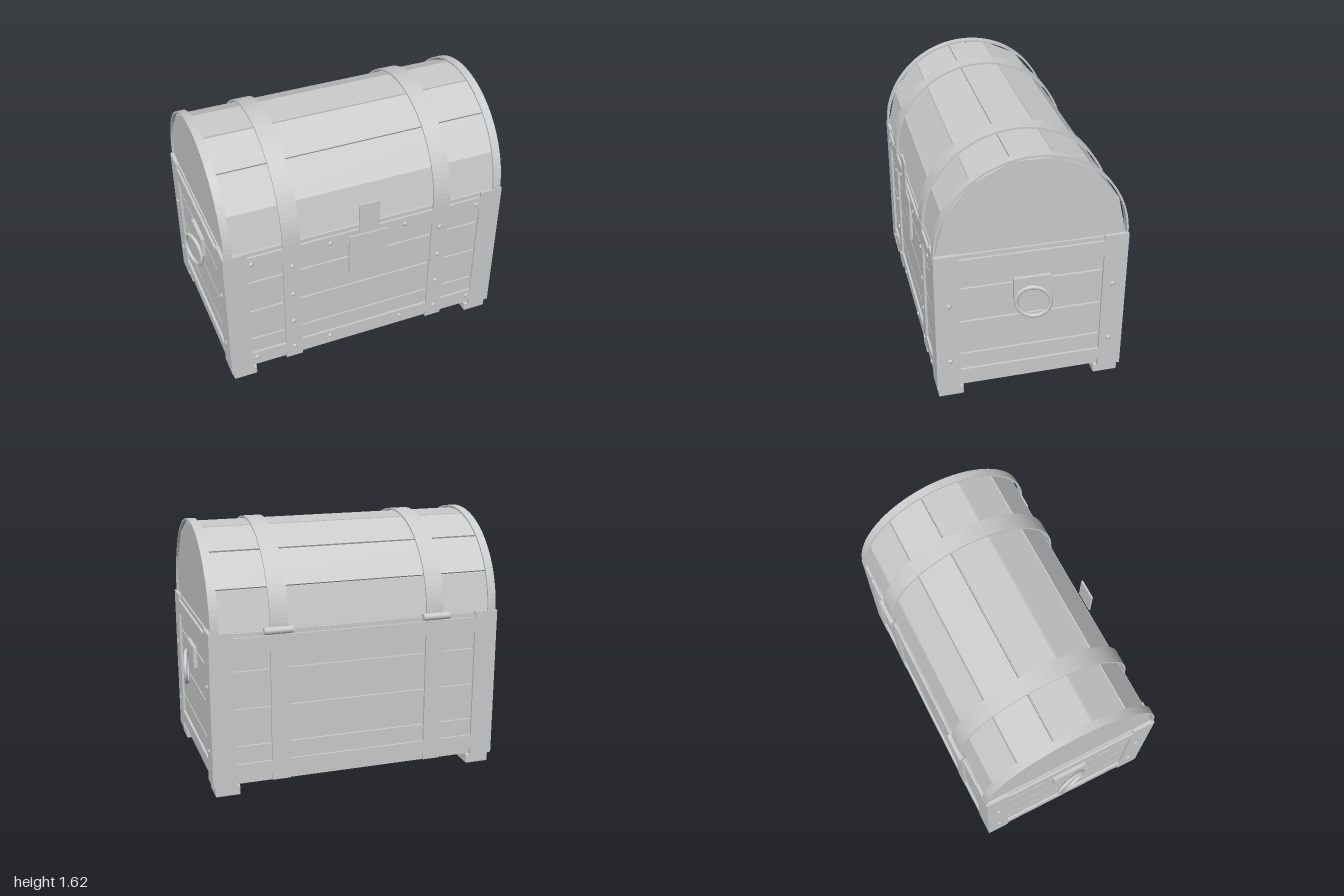
import * as THREE from 'three';
import { RoundedBoxGeometry } from 'three/addons/geometries/RoundedBoxGeometry.js';

const grey = new THREE.MeshStandardMaterial({ color: 0xcccccc });
grey.name = 'plain grey';

export function createModel() {
  const chest = new THREE.Group();
  chest.name = 'treasureChest';

  const add = (name, geo, x = 0, y = 0, z = 0) => {
    const m = new THREE.Mesh(geo, grey);
    m.name = name;
    m.position.set(x, y, z);
    chest.add(m);
    return m;
  };
  // box given by its lower and upper corners
  const slab = (name, x0, x1, y0, y1, z0, z1) =>
    add(name, new THREE.BoxGeometry(x1 - x0, y1 - y0, z1 - z0),
      (x0 + x1) / 2, (y0 + y1) / 2, (z0 + z1) / 2);
  // shape drawn in (z, y), extruded along x and centred at x
  const extrudeX = (name, shape, width, x, y) => {
    const g = new THREE.ExtrudeGeometry(shape, { depth: width, bevelEnabled: false, curveSegments: 24 });
    g.translate(0, 0, -width / 2);
    g.rotateY(-Math.PI / 2);
    return add(name, g, x, y, 0);
  };

  const HX = 0.928, HZ = 0.587, TOP = 1.035, BASE = 0.065;

  // Body: inner core with four rows of planks around it
  slab('bodyCore', -0.897, 0.897, BASE, 1.03, -0.558, 0.558);
  for (let i = 0; i < 4; i++) {
    const y0 = 0.086 + i * 0.238;
    slab('bodyPlank', -0.913, 0.913, y0, y0 + 0.227, -0.573, 0.573);
  }

  // Feet and corner posts
  for (const sx of [-1, 1]) for (const sz of [-1, 1]) {
    add('foot', new RoundedBoxGeometry(0.155, 0.066, 0.158, 2, 0.008), sx * 0.835, 0.033, sz * 0.498);
    add('cornerPost', new THREE.BoxGeometry(HX - 0.78, TOP - BASE, HZ - 0.44),
      sx * (HX + 0.78) / 2, (TOP + BASE) / 2, sz * (HZ + 0.44) / 2);
  }

  // Horizontal bands and vertical straps
  for (const [y0, y1] of [[0.12, 0.203], [0.907, 1.0]]) {
    for (const s of [-1, 1]) {
      add('longBand', new THREE.BoxGeometry(1.56, y1 - y0, 0.02), 0, (y0 + y1) / 2, s * (HZ - 0.01));
      add('sideBand', new THREE.BoxGeometry(0.02, y1 - y0, 0.88), s * (HX - 0.01), (y0 + y1) / 2, 0);
    }
  }
  for (const sx of [-1, 1]) for (const sz of [-1, 1])
    add('bodyStrap', new THREE.BoxGeometry(0.112, 0.96, 0.02), sx * 0.5, 0.555, sz * (HZ - 0.01));

  // Lid: seven-sided barrel core and its planks
  const R = 0.57, N = 7, LY = 1.03, step = Math.PI / N;
  const lidShape = new THREE.Shape();
  for (let i = 0; i <= N; i++) {
    const p = [Math.cos(i * step) * (R - 0.014), Math.sin(i * step) * (R - 0.014)];
    i ? lidShape.lineTo(...p) : lidShape.moveTo(...p);
  }
  extrudeX('lidCore', lidShape, 1.81, 0, LY);
  for (let i = 0; i < N; i++) {
    const a = (i + 0.5) * step, r = R * Math.cos(step / 2) - 0.01;
    const plank = add('lidPlank',
      new THREE.BoxGeometry(1.81, 0.02, 2 * R * Math.sin(step / 2) - 0.011),
      0, LY + Math.sin(a) * r, Math.cos(a) * r);
    plank.rotation.x = Math.PI / 2 - a;
  }

  // Curved lid straps
  const arc = new THREE.Shape();
  arc.absarc(0, 0, 0.585, 0, Math.PI, false);
  arc.absarc(0, 0, 0.573, Math.PI, 0, true);
  arc.closePath();
  for (const s of [-1, 1]) {
    extrudeX('lidEndStrap', arc, 0.052, s * 0.89, LY);
    extrudeX('lidStrap', arc, 0.112, s * 0.5, LY);
    // Hinge barrel on the back
    const hinge = new THREE.CylinderGeometry(0.022, 0.022, 0.176, 16).rotateZ(Math.PI / 2);
    add('hinge', hinge, s * 0.507, 1.03, -0.588);
  }

  // Lock plate, hasp and keyhole
  slab('lockPlate', -0.126, 0.126, 0.67, 0.963, 0.58, 0.597);
  slab('hasp', -0.067, 0.067, 1.0, 1.2, 0.594, 0.605);
  add('keyhole', new THREE.CylinderGeometry(0.013, 0.013, 0.003, 14).rotateX(Math.PI / 2), 0, 0.825, 0.598);
  slab('keyholeSlot', -0.005, 0.005, 0.775, 0.825, 0.596, 0.599);

  // Ring handles with backing plates
  for (const s of [-1, 1]) {
    add('handlePlate', new THREE.BoxGeometry(0.04, 0.135, 0.228), s * 0.916, 0.756, 0);
    const ring = new THREE.TorusGeometry(0.103, 0.0125, 10, 36).rotateY(Math.PI / 2);
    add('ringHandle', ring, s * 0.963, 0.668, 0).rotation.y = -s * 0.24;
  }

  // Rivets
  const rivet = new THREE.SphereGeometry(0.016, 12, 8);
  const frontRivet = (x, y) => add('rivet', rivet, x, y, HZ).scale.set(1, 1, 0.6);
  for (const s of [-1, 1]) {
    for (const x of [0.25, 0.754]) for (const y of [0.16, 0.95]) frontRivet(s * x, y);
    for (const y of [0.16, 0.39, 0.62, 0.85]) frontRivet(s * 0.5, y);
    for (const z of [-0.503, 0.503]) for (const y of [0.28, 0.69])
      add('rivet', rivet, s * HX, y, z).scale.set(0.6, 1, 1);
  }
  return chest;
}
